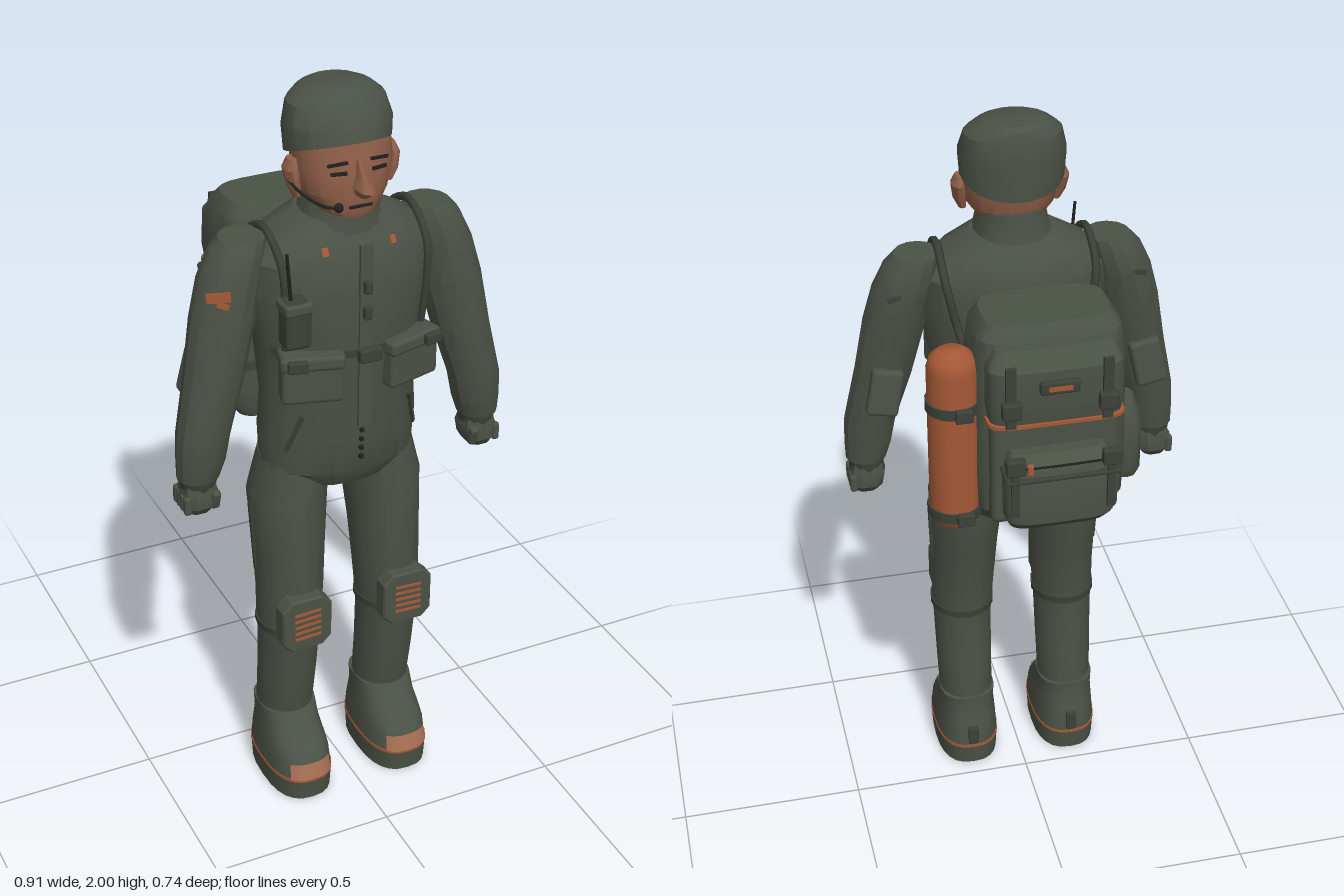
import * as THREE from 'three';
import { toCreasedNormals } from 'three/addons/utils/BufferGeometryUtils.js';
import { RoundedBoxGeometry } from 'three/addons/geometries/RoundedBoxGeometry.js';

const mat = (name, color, extra = {}) => {
  const m = new THREE.MeshStandardMaterial({ color, ...extra });
  m.name = name;
  return m;
};
const GREEN = mat('field green', 0x4a5145);
const STRAP = mat('dark green', 0x3b4137);
const BLACK = mat('near black', 0x20221f);
const SKIN = mat('skin', 0x8f5f48);
const ORANGE = mat('rust orange', 0xa55836);
const TOE = mat('toe tan', 0xa87055, { side: THREE.DoubleSide });

const add = (parent, name, geo, m, x = 0, y = 0, z = 0, rx = 0, ry = 0, rz = 0) => {
  const mesh = new THREE.Mesh(geo, m);
  mesh.name = name;
  mesh.position.set(x, y, z);
  mesh.rotation.set(rx, ry, rz);
  parent.add(mesh);
  return mesh;
};
const box = (w, h, d) => new THREE.BoxGeometry(w, h, d);
const soft = (w, h, d, r = 0.012) => new RoundedBoxGeometry(w, h, d, 2, r);
const tube = (pts, r, seg = 16) => new THREE.TubeGeometry(
  new THREE.CatmullRomCurve3(pts.map(p => new THREE.Vector3(...p))), seg, r, 6);

// Skin over stacked superellipse rings [y, cx, cz, rx, rz, tilt]; an arc leaves it open
function loft(rings, { n = 18, e = 2, arc = null, crease = 0.55 } = {}) {
  const pos = [], idx = [], [a0, a1] = arc || [0, Math.PI * 2], w = n + 1;
  const pw = v => Math.sign(v) * Math.abs(v) ** (2 / e);
  rings.forEach(([y, cx, cz, rx, rz, tilt = 0]) => {
    for (let i = 0; i <= n; i++) {
      const a = a0 + (a1 - a0) * i / n, s = pw(Math.sin(a));
      pos.push(cx + rx * pw(Math.cos(a)), y + tilt * s, cz + rz * s);
    }
  });
  for (let r = 0; r < rings.length - 1; r++) for (let i = 0; i < n; i++) {
    const a = r * w + i, b = a + 1, d = a + w, c = d + 1;
    idx.push(a, d, b, b, d, c);
  }
  if (!arc) [0, rings.length - 1].forEach(r => {
    const [y, cx, cz] = rings[r], ctr = pos.length / 3;
    pos.push(cx, y, cz);
    for (let i = 0; i < n; i++) {
      const a = r * w + i;
      r ? idx.push(ctr, a + 1, a) : idx.push(ctr, a, a + 1);
    }
  });
  const g = new THREE.BufferGeometry();
  g.setAttribute('position', new THREE.Float32BufferAttribute(pos, 3));
  g.setIndex(idx);
  return toCreasedNormals(g, crease);
}
const group = (parent, name) => {
  const g = new THREE.Group();
  g.name = name;
  parent.add(g);
  return g;
};

function buildHead(root) {
  const g = group(root, 'head');
  add(g, 'face', loft([[1.66, 0, .18, .07, .08], [1.70, 0, .21, .06, .07], [1.715, 0, .2, .08, .085], [1.76, 0, .185, .112, .103],
    [1.82, 0, .18, .125, .105], [1.9, 0, .165, .125, .103]], { e: 2.2 }), SKIN);
  add(g, 'cap', loft([[1.85, 0, .16, .134, .117, .04], [1.91, 0, .155, .139, .112, .012], [1.965, 0, .145, .125, .098],
    [1.99, 0, .138, .095, .08], [2.0, 0, .135, .07, .062]]), GREEN);
  // Nose as a small wedge
  add(g, 'nose', loft([[1.765, 0, .29, .014, .03], [1.785, 0, .295, .022, .055], [1.81, 0, .285, .013, .04],
    [1.85, 0, .27, .008, .02]], { n: 8 }), SKIN);
  add(g, 'mouth', box(.06, .006, .006), BLACK, 0, 1.735, .289);
  for (const s of [-1, 1]) {
    add(g, 'ear', loft([[1.745, s * .122, .19, .01, .014], [1.775, s * .13, .187, .017, .024], [1.815, s * .134, .18, .019, .032],
      [1.84, s * .13, .178, .012, .02]], { n: 10 }), SKIN);
    add(g, 'eye', box(.04, .008, .006), BLACK, s * .053, 1.822, .279, 0, s * .2);
    add(g, 'brow', box(.05, .007, .006), BLACK, s * .055, 1.845, .275, 0, s * .2, s * -.1);
  }
  add(g, 'microphoneBoom', tube([[-.145, 1.79, .19], [-.13, 1.77, .24], [-.095, 1.75, .285], [-.065, 1.745, .3]], .004), BLACK);
  add(g, 'microphone', new THREE.SphereGeometry(.012, 8, 6), BLACK, -.062, 1.745, .298);
}

function buildTorso(root) {
  const g = group(root, 'torso');
  add(g, 'jacket', loft([[.93, 0, .155, .11, .08], [.95, 0, .155, .17, .115], [1.0, 0, .16, .21, .14], [1.1, 0, .163, .215, .146],
    [1.2, 0, .163, .207, .148], [1.35, 0, .163, .222, .162], [1.5, 0, .163, .25, .163], [1.59, 0, .158, .246, .157],
    [1.645, 0, .155, .2, .135], [1.69, 0, .16, .11, .11]], { n: 20, crease: .5 }), GREEN);
  add(g, 'collar', loft([[1.66, 0, .163, .13, .122], [1.69, 0, .167, .1, .115], [1.75, 0, .17, .087, .108, -.015]]), GREEN);
  add(g, 'placket', box(.035, .5, .008), GREEN, 0, 1.4, .325);
  for (let i = 0; i < 9; i++) add(g, 'button', box(.01, .01, .012), BLACK, 0, 1.05 + i * .026, .311);
  [1.47, 1.54].forEach(y => add(g, 'toggle', soft(.02, .035, .02, .006), STRAP, 0, y, .335));
  add(g, 'chestBuckle', soft(.062, .036, .025, .006), STRAP, 0, 1.365, .353);
  add(g, 'chestStrap', loft([[1.35, 0, .163, .227, .167], [1.372, 0, .163, .23, .168]],
    { arc: [.4, Math.PI - .4] }), TOE.clone()).material = STRAP_OPEN;
  for (const s of [-1, 1]) {
    add(g, 'chestPouch', soft(.155, .115, .07), GREEN, s * .132, 1.3, .292, 0, s * .27);
    add(g, 'pouchFlap', soft(.163, .04, .08), GREEN, s * .132, 1.355, .294, 0, s * .27);
    add(g, 'pouchClip', soft(.05, .03, .02, .005), STRAP, s * .185, 1.36, .332, 0, s * .27);
    add(g, 'collarTab', box(.016, .022, .008), ORANGE, s * .09, 1.628, .283, -.5, s * .3);
    add(g, 'hipPocketZip', box(.012, .12, .008), STRAP, s * .165, 1.13, .262, 0, s * .8, s * .4);
    add(g, 'shoulderStrap', tube([[s * .185, 1.36, .26], [s * .192, 1.5, .275], [s * .195, 1.6, .262], [s * .197, 1.665, .16],
      [s * .195, 1.6, .05], [s * .17, 1.48, .03], [s * .15, 1.4, -.03]], .011, 28), STRAP);
  }
  // Radio on the right side of the chest
  add(g, 'radio', soft(.068, .125, .06), STRAP, -.185, 1.475, .315);
  add(g, 'radioFlap', soft(.074, .03, .066, .008), GREEN, -.185, 1.52, .315);
  add(g, 'radioAntenna', new THREE.CylinderGeometry(.004, .005, .14, 6), BLACK, -.2, 1.59, .315, 0, 0, .08);
  add(g, 'backLoop', box(.09, .02, .012), STRAP, -.17, 1.2, .01);
}

const STRAP_OPEN = mat('dark green band', 0x3b4137, { side: THREE.DoubleSide });

function buildArm(root, s) {
  const g = group(root, s > 0 ? 'leftArm' : 'rightArm');
  add(g, 'sleeve', loft([[1.03, s * .4, .193, .055, .052], [1.08, s * .392, .195, .064, .06], [1.15, s * .384, .194, .07, .065],
    [1.3, s * .345, .18, .078, .073], [1.45, s * .313, .167, .084, .08], [1.55, s * .29, .157, .08, .08],
    [1.62, s * .265, .152, .072, .072], [1.65, s * .25, .15, .06, .06]], { n: 14, crease: .45 }), GREEN);
  add(g, 'gloveCuff', loft([[1.0, s * .4, .19, .046, .046], [1.04, s * .4, .192, .052, .05]], { n: 12 }), STRAP);
  add(g, 'glove', loft([[.935, s * .405, .19, .032, .036], [.955, s * .403, .19, .046, .05], [.99, s * .4, .19, .05, .051],
    [1.02, s * .4, .19, .042, .042]], { n: 10, e: 2.8 }), GREEN);
  for (let i = 0; i < 4; i++)
    add(g, 'finger', soft(.02, .05, .021, .007), GREEN, s * .442, .968, .155 + i * .023);
  add(g, 'thumb', soft(.024, .055, .024, .008), GREEN, s * .37, .975, .232, .3);
  add(g, 'elbowPad', soft(.085, .13, .04), GREEN, s * .355, 1.28, .098, .1, 0, s * .2);
  add(g, 'shoulderSeam', box(.07, .012, .01), STRAP, s * .305, 1.56, .085, 0, 0, s * -.2);
  if (s < 0) {
    add(g, 'sleevePatch', box(.06, .024, .007), ORANGE, -.343, 1.532, .222, -.1, -.55, .08);
    add(g, 'sleevePatchBar', box(.03, .014, .007), ORANGE, -.335, 1.512, .229, -.1, -.5, -.3);
  }
}

function buildLeg(root, s) {
  const g = group(root, s > 0 ? 'leftLeg' : 'rightLeg'), x = s * .147;
  add(g, 'trouser', loft([[.16, x, .15, .07, .075], [.22, x, .152, .077, .082], [.35, x, .17, .08, .086], [.48, x, .182, .083, .09],
    [.52, x, .184, .086, .093], [.62, s * .143, .18, .089, .1], [.75, s * .14, .168, .094, .112], [.9, s * .136, .15, .104, .12],
    [1.02, s * .11, .15, .1, .11]], { n: 16, crease: .45 }), GREEN);
  add(g, 'kneeStrap', loft([[.505, x, .184, .089, .097], [.525, x, .184, .09, .098]], { n: 16 }), STRAP);
  add(g, 'thighSeam', box(.008, .2, .012), STRAP, s * .236, .78, .155, -.08, 0, s * -.04);

  // Knee pad: bevelled octagon with a rust grille
  const w = .067, h = .074, c = .024, shape = new THREE.Shape();
  [[-w, c - h], [c - w, -h], [w - c, -h], [w, c - h], [w, h - c], [w - c, h], [c - w, h], [-w, h - c]]
    .forEach(([px, py], i) => (i ? shape.lineTo(px, py) : shape.moveTo(px, py)));
  add(g, 'kneePad', new THREE.ExtrudeGeometry(shape, { depth: .04, bevelEnabled: true, bevelSize: .004, bevelThickness: .006,
    bevelSegments: 1 }), GREEN, s * .148, .565, .263);
  for (let i = 0; i < 5; i++)
    add(g, 'kneeGrille', box(.075, .007, .005), ORANGE, s * .148, .527 + i * .019, .31, 0, 0, s * -.05);

  // Boot: sole, rust welt, upper and toe cap
  const e = 2.6;
  add(g, 'sole', loft([[0, x, .192, .087, .148], [.06, x, .192, .09, .152]], { n: 24, e }), GREEN);
  add(g, 'welt', loft([[.06, x, .192, .091, .154], [.068, x, .192, .091, .154]], { n: 24, e }), ORANGE);
  const upper = [[.068, x, .192, .089, .151], [.115, x, .189, .086, .143], [.145, x, .18, .083, .125], [.18, x, .165, .079, .1],
    [.225, x, .15, .079, .085]];
  add(g, 'boot', loft(upper, { n: 24, e }), GREEN);
  add(g, 'toeCap', loft(upper.slice(0, 2).map(([y, a, b, p, q]) => [y, a, b, p + .004, q + .004]),
    { n: 8, e, arc: [Math.PI * .31, Math.PI * .69] }), TOE);
  add(g, 'heelLoop', soft(.03, .06, .016, .005), STRAP, x, .1, .047);
  for (const dx of [-.035, .035]) for (let i = 0; i < 4; i++)
    add(g, 'soleStud', new THREE.CylinderGeometry(.012, .012, .004, 8), ORANGE, x + dx, 0.001, .1 + i * .06);
}

function buildPack(root) {
  const g = group(root, 'backpack'), x = -.013;
  add(g, 'packBody', loft([[1.02, x, -.1, .165, .075], [1.05, x, -.115, .186, .097], [1.1, x, -.138, .197, .12],
    [1.2, x, -.143, .199, .125], [1.5, x, -.143, .196, .122], [1.585, x, -.14, .185, .112], [1.62, x, -.135, .16, .09]],
    { n: 28, e: 4 }), GREEN);
  // Upper lid with its rust lower edge
  add(g, 'packLid', loft([[1.385, x, -.23, .168, .072], [1.43, x, -.232, .174, .077], [1.53, x, -.23, .172, .073],
    [1.575, x, -.215, .15, .05]], { n: 24, e: 5 }), GREEN);
  add(g, 'lidTrim', loft([[1.378, x, -.23, .175, .079], [1.387, x, -.23, .175, .079]], { n: 24, e: 6 }), ORANGE);
  add(g, 'lidHandle', soft(.1, .035, .02, .006), STRAP, x, 1.49, -.31);
  add(g, 'lidHandleInset', box(.06, .012, .006), ORANGE, x, 1.49, -.32);
  add(g, 'rearPanel', soft(.33, .3, .06, .02), GREEN, x, 1.23, -.25);
  // Lower rear pocket
  add(g, 'rearPocket', loft([[1.09, x, -.275, .125, .05], [1.12, x, -.285, .138, .07], [1.24, x, -.285, .14, .075],
    [1.285, x, -.282, .132, .065], [1.305, x, -.27, .12, .045]], { n: 24, e: 4 }), GREEN);
  add(g, 'pocketFlap', soft(.29, .012, .1, .005), STRAP, x, 1.255, -.313);
  add(g, 'cord', tube([[-.13, 1.3, -.367], [0, 1.298, -.367], [.11, 1.3, -.367]], .003), BLACK);
  add(g, 'cordToggle', soft(.016, .03, .014, .004), ORANGE, .073, 1.295, -.366);
  for (const s of [-1, 1]) {
    const bx = x + s * .122;
    add(g, 'lidStrap', box(.026, .17, .01), STRAP, bx, 1.47, -.309);
    add(g, 'lidBuckle', soft(.05, .045, .025, .006), STRAP, bx, 1.44, -.318);
    add(g, 'pocketBuckle', soft(.05, .045, .025, .006), STRAP, bx, 1.305, -.362);
    add(g, 'pocketStrap', box(.02, .13, .01), STRAP, bx, 1.22, -.357);
  }
  for (let i = 0; i < 6; i++) add(g, 'lacing', box(.008, .012, .012), BLACK, -.15, 1.11 + i * .03, -.3);
  // Side pouch on the right
  add(g, 'sidePouch', loft([[1.12, -.22, -.155, .035, .045], [1.14, -.22, -.155, .043, .053], [1.27, -.22, -.155, .045, .055],
    [1.31, -.22, -.155, .036, .045], [1.35, -.22, -.155, .022, .026]], { n: 12, e: 2.4 }), GREEN);

  // Gas bottle on the left, held by two straps
  const r = .066, prof = [[0, 1.035], [.035, 1.04], [.057, 1.055], [r, 1.085], [r, 1.5], [.057, 1.53], [.035, 1.547], [0, 1.553]];
  add(g, 'bottle', new THREE.LatheGeometry(prof.map(p => new THREE.Vector2(...p)), 20), ORANGE, .227, 0, -.178);
  [1.09, 1.4].forEach(y => {
    add(g, 'bottleStrap', new THREE.CylinderGeometry(.071, .071, .028, 20), STRAP, .227, y, -.178);
    add(g, 'bottleBuckle', soft(.045, .035, .02, .005), STRAP, .213, y, -.252);
  });
}

export function createModel() {
  const root = new THREE.Group();
  root.name = 'soldier';
  buildHead(root);
  buildTorso(root);
  for (const s of [-1, 1]) {
    buildArm(root, s);
    buildLeg(root, s);
  }
  buildPack(root);
  return root;
}
